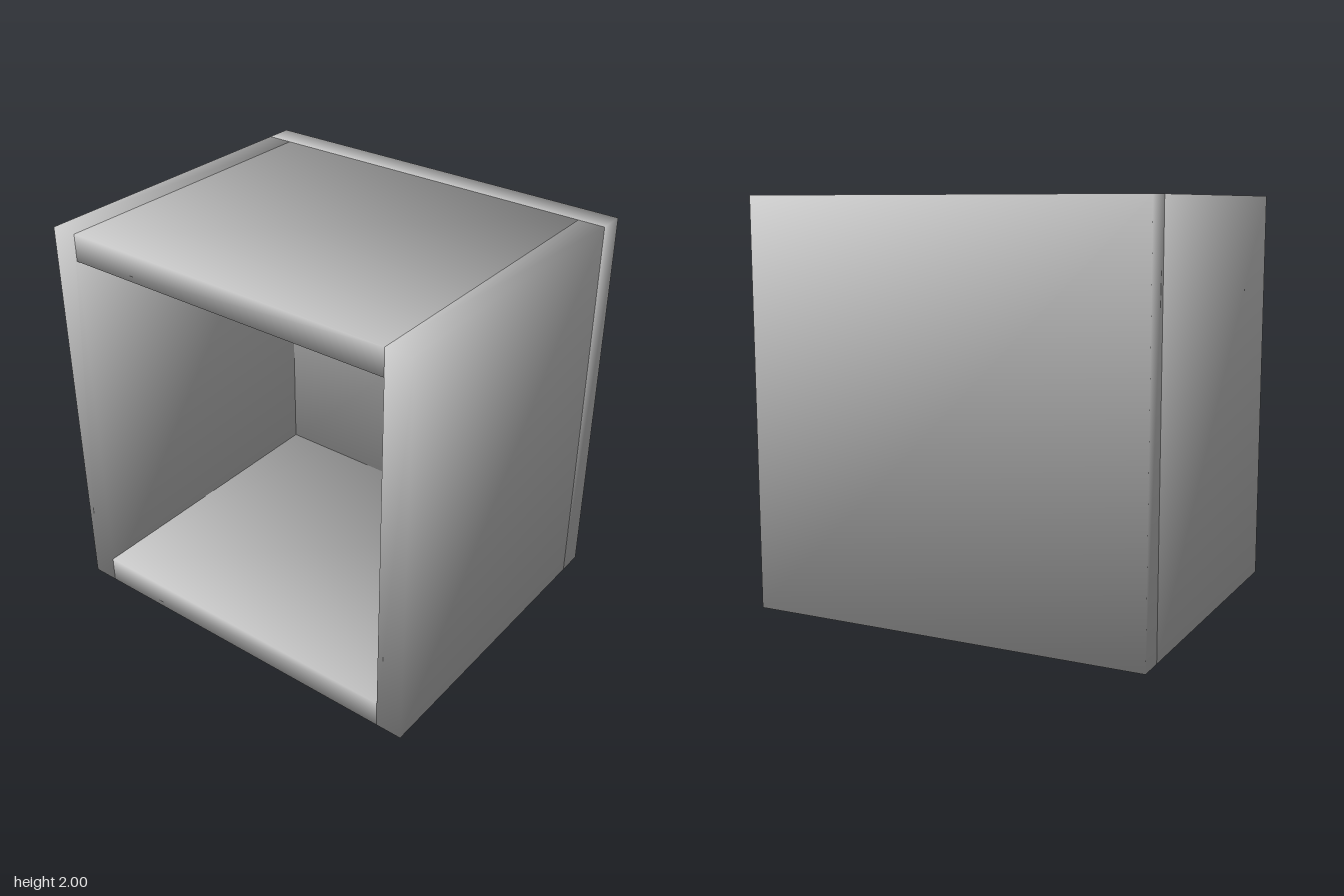
import * as THREE from 'three';

const T = 0.135;               // board thickness
const W = 2, H = 2, D = 1.67;  // overall width, height, depth
const material = new THREE.MeshStandardMaterial({ color: 0xcccccc });

// A board with soft shading: every corner normal points diagonally outward
function board(name, w, h, d, x, y, z) {
  const geometry = new THREE.BoxGeometry(w, h, d);
  const { position, normal } = geometry.attributes;
  const n = new THREE.Vector3();
  for (let i = 0; i < position.count; i++) {
    n.set(Math.sign(position.getX(i)), Math.sign(position.getY(i)), Math.sign(position.getZ(i))).normalize();
    normal.setXYZ(i, n.x, n.y, n.z);
  }
  const mesh = new THREE.Mesh(geometry, material);
  mesh.name = name;
  mesh.position.set(x, y, z);
  return mesh;
}

export function createModel() {
  const group = new THREE.Group();
  group.name = 'openBox';
  const depth = D - T; // boards in front of the back panel
  const z = T / 2;

  // Back panel covers the full width and height
  group.add(board('backPanel', W, H, T, 0, H / 2, -D / 2 + T / 2));

  // Side panels run the full height
  for (const [name, s] of [['leftSide', 1], ['rightSide', -1]])
    group.add(board(name, T, H, depth, s * (W - T) / 2, H / 2, z));

  // Top and bottom fit between the sides
  for (const [name, y] of [['topPanel', H - T / 2], ['bottomPanel', T / 2]])
    group.add(board(name, W - 2 * T, T, depth, 0, y, z));

  return group;
}
